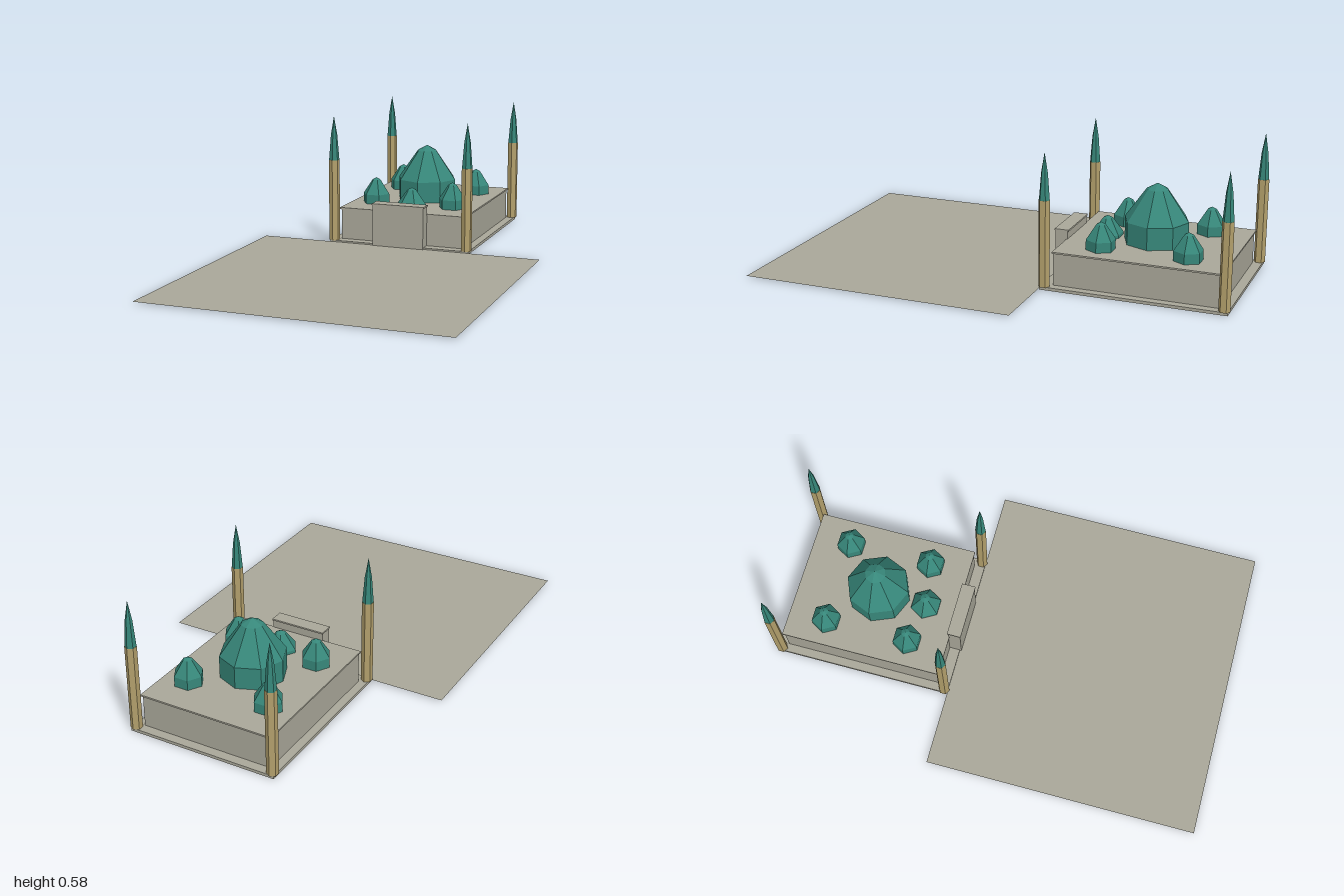
import * as THREE from 'three';

const stone = new THREE.MeshStandardMaterial({ name: 'stone', color: 0xa9a799, flatShading: true, side: THREE.DoubleSide });
const sandstone = new THREE.MeshStandardMaterial({ name: 'sandstone', color: 0xb3a06c, flatShading: true });
const teal = new THREE.MeshStandardMaterial({ name: 'tealRoof', color: 0x37877a, flatShading: true, side: THREE.DoubleSide });

export function createModel() {
  const model = new THREE.Group();
  model.name = 'domedBuilding';

  const add = (name, geometry, material, x = 0, y = 0, z = 0) => {
    const mesh = new THREE.Mesh(geometry, material);
    mesh.name = name;
    mesh.position.set(x, y, z);
    model.add(mesh);
    return mesh;
  };

  // Box given by half width and its y and z ranges
  const block = (name, halfX, y0, y1, z0, z1) =>
    add(name, new THREE.BoxGeometry(halfX * 2, y1 - y0, z1 - z0), stone, 0, (y0 + y1) / 2, (z0 + z1) / 2);

  // Faceted surface of revolution from [radius, height] pairs
  const facet = (profile, sides, turn = 0) =>
    new THREE.LatheGeometry(profile.map(([r, y]) => new THREE.Vector2(r, y)), sides).rotateY(turn);

  // Forecourt
  const court = new THREE.PlaneGeometry(1.31, 1.2).rotateX(-Math.PI / 2);
  add('forecourt', court, stone, 0, 0.006, 0.4);

  // Plinth, walls and overhanging roof slab
  block('plinth', 0.33, 0, 0.013, -0.993, -0.2);
  block('walls', 0.293, 0.013, 0.152, -0.952, -0.247);
  block('roofSlab', 0.3, 0.152, 0.159, -0.96, -0.243);

  // Entrance portal with cap and step
  block('portal', 0.12, 0.005, 0.193, -0.247, -0.193);
  block('portalCap', 0.123, 0.193, 0.2, -0.252, -0.19);
  block('portalStep', 0.13, 0, 0.005, -0.2, -0.172);

  // Central dome
  const mainProfile = [[0.139, 0.15], [0.139, 0.255], [0.046, 0.387], [0, 0.413]];
  add('mainDome', facet(mainProfile, 8), teal, 0, 0, -0.6);

  // Small domes at the corners, and a lower one behind the portal
  const smallProfile = [[0.063, 0.14], [0.063, 0.202], [0.02, 0.266], [0, 0.277]];
  const smallDome = facet(smallProfile, 6, Math.PI / 6);
  for (const x of [-0.186, 0.186])
    for (const z of [-0.789, -0.417]) add('cornerDome', smallDome, teal, x, 0, z);
  const entranceDome = add('entranceDome', smallDome, teal, 0, -0.03, -0.385);
  entranceDome.scale.set(1.09, 1, 1.09);

  // Four minarets with pointed spires
  const shaft = new THREE.CylinderGeometry(0.0245, 0.0245, 0.372, 6);
  const spire = facet([[0, 0.385], [0.0235, 0.385], [0.0145, 0.5], [0, 0.585]], 6);
  for (const x of [-0.316, 0.316])
    for (const z of [-0.976, -0.217]) {
      add('minaretShaft', shaft, sandstone, x, 0.199, z);
      add('minaretSpire', spire, teal, x, 0, z);
    }

  return model;
}
